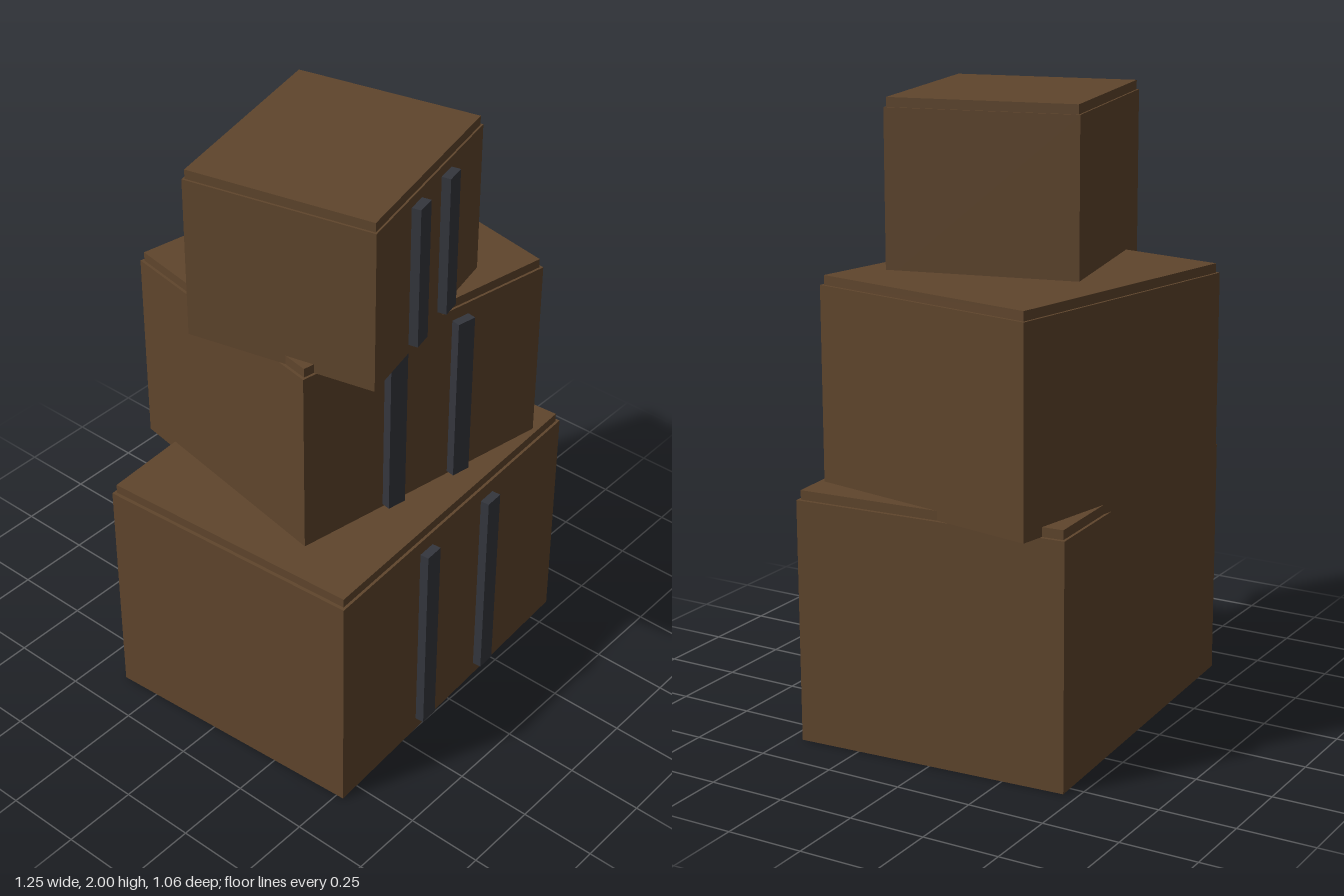
import * as THREE from 'three';

const brown = new THREE.MeshStandardMaterial({ color: 0x5f452c, side: THREE.DoubleSide });
brown.name = 'brown wood';
const slate = new THREE.MeshStandardMaterial({ color: 0x34363d });
slate.name = 'dark slate strap';

const LID = 0.03;

// Box standing on y = 0 with its underside left open
function openBox(w, h, d) {
  const geo = new THREE.BoxGeometry(w, h, d).translate(0, h / 2, 0);
  const index = Array.from(geo.index.array);
  index.splice(18, 6); // drop the bottom face
  geo.setIndex(index);
  geo.clearGroups();
  return geo;
}

function part(name, geo, material, parent) {
  const mesh = new THREE.Mesh(geo, material);
  mesh.name = name;
  parent.add(mesh);
  return mesh;
}

// One crate: open-bottomed body, inset lid and two upright front straps
function crate(name, w, h, d) {
  const group = new THREE.Group();
  group.name = name;
  part('body', openBox(w, h, d), brown, group);
  part('lid', new THREE.BoxGeometry(w * 0.98, LID, d * 0.98), brown, group)
    .position.y = h + LID / 2;
  for (const side of [-1, 1]) {
    const strap = part(side > 0 ? 'leftStrap' : 'rightStrap',
      new THREE.BoxGeometry(0.065, h * 0.88, 0.03), slate, group);
    strap.position.set(side * w * 0.14, h / 2, d / 2 + 0.0155);
  }
  return group;
}

export function createModel() {
  const model = new THREE.Group();
  model.name = 'crateStack';

  // Each crate rests at the body top of the one below, turned a little
  const stack = [
    { name: 'bottomCrate', size: [1.174, 0.79, 0.912], at: [-0.012, 0.035], turn: 0.06 },
    { name: 'middleCrate', size: [0.942, 0.652, 0.812], at: [0.085, -0.047], turn: -0.18 },
    { name: 'topCrate', size: [0.683, 0.528, 0.617], at: [-0.096, 0.084], turn: 0.222 },
  ];
  let y = 0;
  for (const { name, size, at, turn } of stack) {
    const c = crate(name, ...size);
    c.position.set(at[0], y, at[1]);
    c.rotation.y = turn;
    model.add(c);
    y += size[1];
  }
  return model;
}
